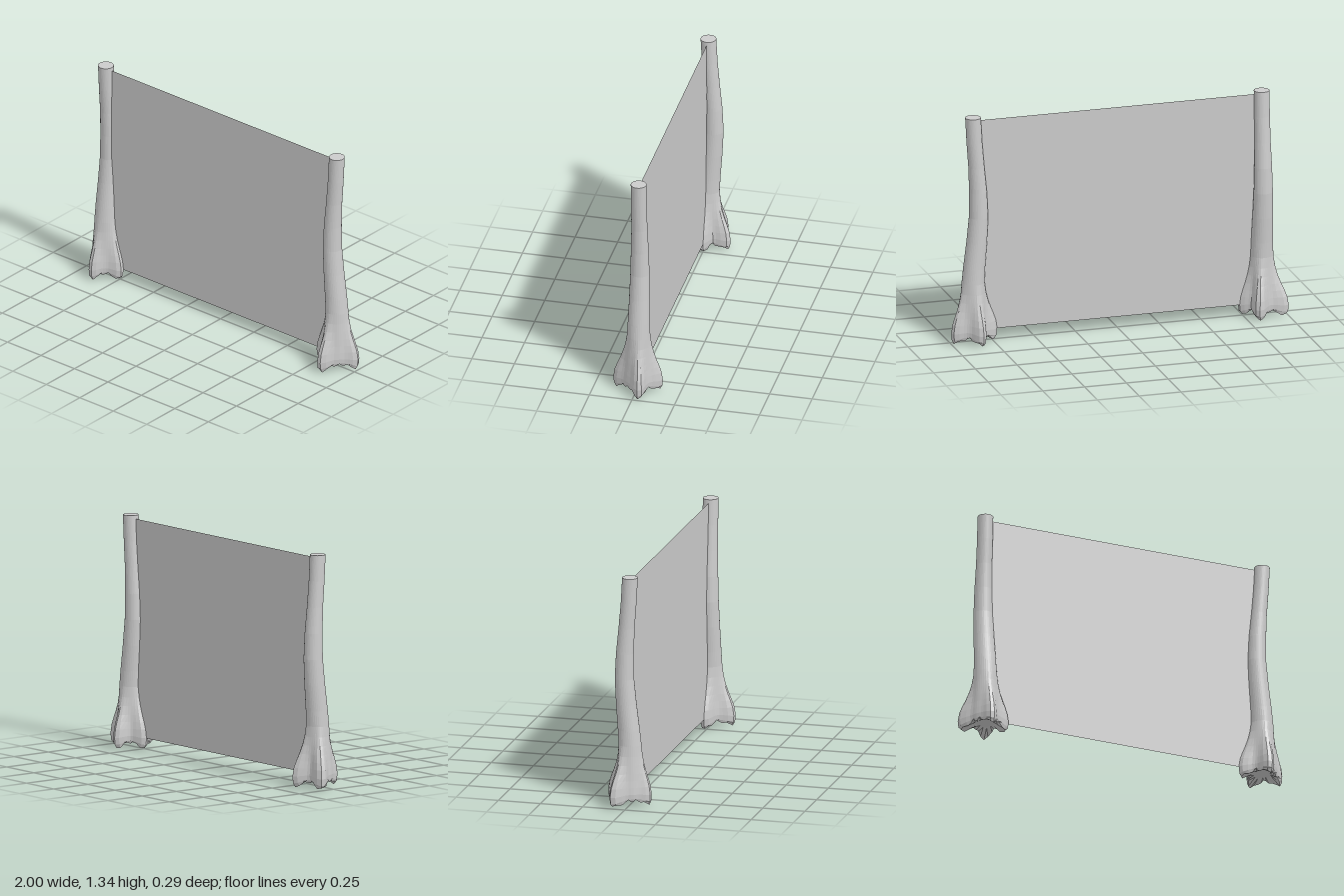
import * as THREE from 'three';

const SIDES = 36;
const material = new THREE.MeshStandardMaterial({ color: 0xcccccc, flatShading: true });

// Cross-sections from the hollow underside up to the sawn top:
// height, trunk radius, root flare (0..1), sideways bend, lift of the gaps between roots
const ROWS = [
  [0.055, 0, 0, 0, 0],
  [0.05, 0.045, 0.25, 0, 0],
  [0.012, 0.078, 0.85, 0, 0.03],
  [0.03, 0.084, 0.97, 0, 0.022],
  [0.07, 0.086, 1, 0, 0.01],
  [0.12, 0.083, 0.92, 0, 0],
  [0.16, 0.079, 0.75, 0, 0],
  [0.2, 0.076, 0.52, 0, 0],
  [0.25, 0.072, 0.29, 0, 0],
  [0.3, 0.068, 0.14, 0, 0],
  [0.36, 0.065, 0.04, 0, 0],
  [0.45, 0.063, 0, 0.007, 0],
  [0.6, 0.059, 0, 0.022, 0],
  [0.75, 0.055, 0, 0.033, 0],
  [0.9, 0.051, 0, 0.03, 0],
  [1.05, 0.046, 0, 0.02, 0],
  [1.2, 0.045, 0, 0.008, 0],
  [1.35, 0.045, 0, 0, 0],
  [1.35, 0, 0, 0, 0],
];

// Trunk lofted through the rows; each root is a bulge reaching out to its tip
function trunk(name, cx, cz, tips, bend) {
  const roots = tips.map(([x, z]) => ({
    angle: Math.atan2(z - cz, x - cx),
    reach: Math.hypot(x - cx, z - cz) - 0.085,
  }));
  const positions = [];
  for (const [y, r, flare, shift, lift] of ROWS) {
    for (let i = 0; i < SIDES; i++) {
      const a = (i / SIDES) * Math.PI * 2;
      let bulge = 0, reach = 0;
      for (const root of roots) {
        const d = Math.atan2(Math.sin(a - root.angle), Math.cos(a - root.angle));
        const f = Math.exp(-((d / 0.36) ** 2));
        bulge = Math.max(bulge, f);
        reach = Math.max(reach, f * root.reach);
      }
      const radius = r + flare * reach;
      const knobs = lift > 0.025 ? 0.008 * Math.sin(a * 11) : 0;
      positions.push(
        cx + bend[0] * shift + Math.cos(a) * radius,
        y + lift * (1 - bulge) + knobs,
        cz + bend[1] * shift + Math.sin(a) * radius,
      );
    }
  }
  const index = [];
  const last = ROWS.length - 2;
  for (let j = 0; j <= last; j++) {
    for (let i = 0; i < SIDES; i++) {
      const n = (i + 1) % SIDES;
      const a = j * SIDES + i, b = j * SIDES + n;
      const c = a + SIDES, d = b + SIDES;
      if (j > 0) index.push(a, c, b);
      if (j < last) index.push(b, c, d);
    }
  }
  const geometry = new THREE.BufferGeometry();
  geometry.setAttribute('position', new THREE.Float32BufferAttribute(positions, 3));
  geometry.setIndex(index);
  geometry.computeVertexNormals();
  const mesh = new THREE.Mesh(geometry, material);
  mesh.name = name;
  return mesh;
}

export function createModel() {
  const model = new THREE.Group();
  model.name = 'trunkGate';

  // Two trunks, bent in different directions
  model.add(trunk('leftTrunk', 0.8635, -0.007,
    [[1, -0.04], [0.84, -0.143], [0.72, -0.005], [0.852, 0.143]], [-1, 0]));
  model.add(trunk('rightTrunk', -0.862, -0.007,
    [[-1, -0.085], [-0.805, -0.148], [-0.727, 0.01], [-0.872, 0.123]], [0, -1]));

  // Thin sheet stretched between them
  const sheet = new THREE.Mesh(
    new THREE.PlaneGeometry(1.725, 1.26),
    new THREE.MeshStandardMaterial({ color: 0xcccccc, side: THREE.DoubleSide }),
  );
  sheet.name = 'sheet';
  sheet.position.set(0, 0.7, -0.007);
  model.add(sheet);

  return model;
}
